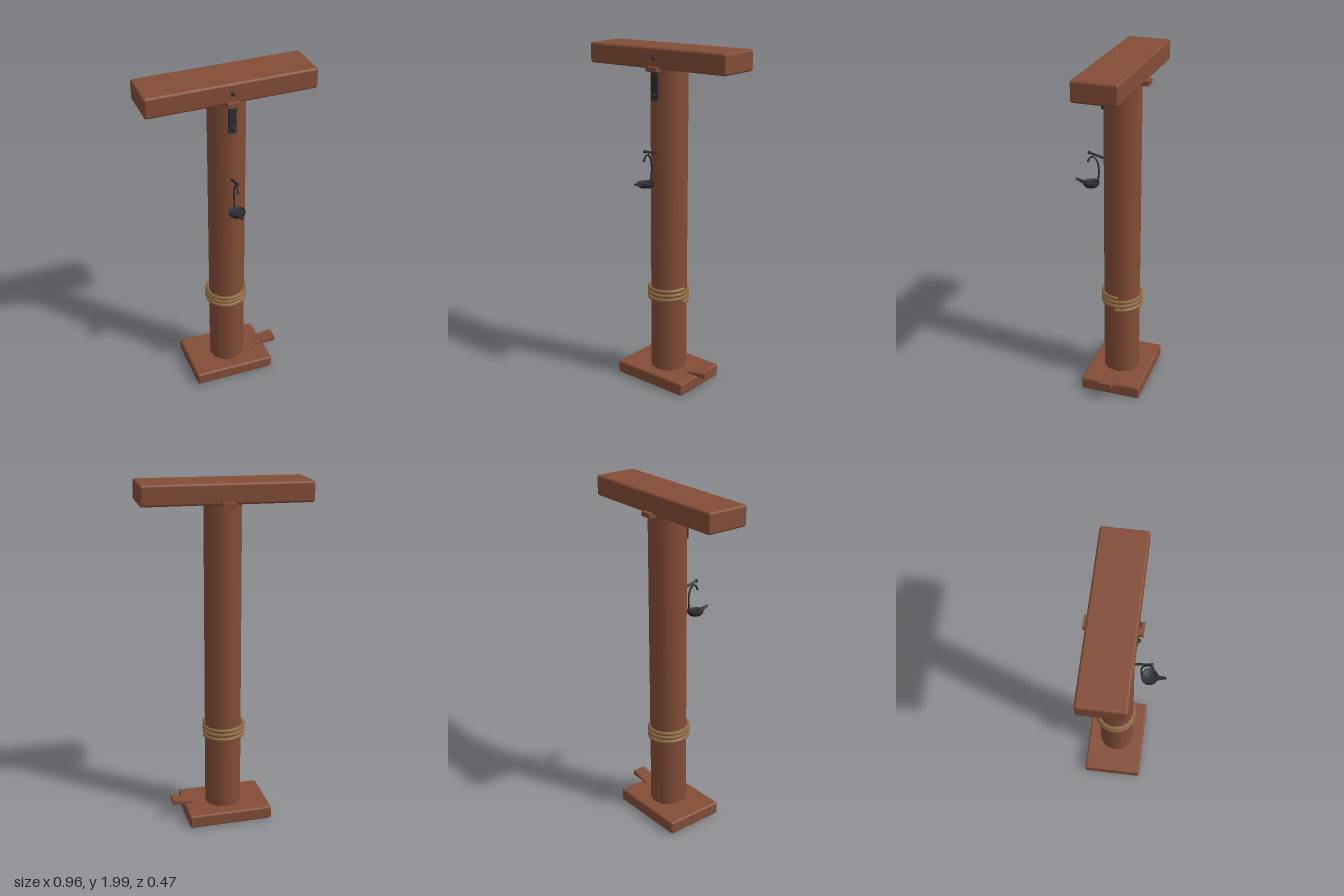
import * as THREE from 'three';
import { RoundedBoxGeometry } from 'three/addons/geometries/RoundedBoxGeometry.js';

const wood = new THREE.MeshStandardMaterial({ name: 'wood', color: 0x834d37 });
const rope = new THREE.MeshStandardMaterial({ name: 'rope', color: 0x8c6840 });
const iron = new THREE.MeshStandardMaterial({ name: 'iron', color: 0x2c2c32 });

const V = (x, y, z) => new THREE.Vector3(x, y, z);

export function createModel() {
  const root = new THREE.Group();
  const add = (name, geometry, material, x = 0, y = 0, z = 0, parent = root) => {
    const mesh = new THREE.Mesh(geometry, material);
    mesh.name = name;
    mesh.position.set(x, y, z);
    parent.add(mesh);
    return mesh;
  };
  const rounded = (w, h, d, r) => new RoundedBoxGeometry(w, h, d, 2, r);
  // Rod running between two points
  const rod = (name, a, b, r, material, parent) =>
    add(name, new THREE.TubeGeometry(new THREE.LineCurve3(a, b), 1, r, 8), material, 0, 0, 0, parent);

  // Timber: foot, post and crossbeam, each set a little askew
  add('foot', rounded(0.49, 0.076, 0.356, 0.012), wood, -0.002, 0.046, -0.051).rotation.set(0, 0.022, -0.01);
  add('post', new THREE.CylinderGeometry(0.107, 0.107, 1.86, 12), wood, 0.006, 0.95, -0.05);
  add('crossbeam', rounded(0.953, 0.116, 0.253, 0.014), wood, 0, 1.936, -0.051).rotation.set(0, 0.021, 0.012);
  add('crossPeg', new THREE.BoxGeometry(0.07, 0.026, 0.3), wood, 0, 1.878, -0.05);

  // Wedge beside the foot, thin end toward the post
  const profile = new THREE.Shape([[0.18, 0.092], [0.316, 0.092], [0.316, 0.122], [0.18, 0.097]]
    .map(([x, y]) => new THREE.Vector2(x, y)));
  add('wedge', new THREE.ExtrudeGeometry(profile, { depth: 0.08, bevelEnabled: false }), wood, 0, 0, -0.088);

  // Rope wound three times round the post
  const turns = 3, coil = [];
  for (let i = 0; i <= turns * 16; i++) {
    const a = i / 16 * Math.PI * 2;
    coil.push(V(0.002 + 0.112 * Math.cos(a), 0.512 + 0.081 * i / (turns * 16), -0.05 - 0.112 * Math.sin(a)));
  }
  const coilCurve = new THREE.CatmullRomCurve3(coil);
  add('ropeCoil', new THREE.TubeGeometry(coilCurve, 120, 0.0115, 8), rope);
  [coil[0], coil[coil.length - 1]].forEach((p) =>
    add('ropeEnd', new THREE.SphereGeometry(0.0115, 8, 6), rope, p.x, p.y, p.z));

  // Iron strap and bolts
  add('strap', new THREE.BoxGeometry(0.042, 0.165, 0.014), iron, 0, 1.788, 0.065);
  [[1.735, 0.076], [1.936, 0.076]].forEach(([y, z]) => {
    const bolt = add('bolt', new THREE.SphereGeometry(0.012, 10, 8), iron, 0, y, z);
    bolt.scale.z = 0.9;
  });

  // Hanging lamp: hook, curved handle, dish and spout
  const lamp = new THREE.Group();
  lamp.name = 'lamp';
  root.add(lamp);
  rod('hook', V(0, 1.408, 0.045), V(0, 1.435, 0.15), 0.007, iron, lamp);
  add('hookTip', new THREE.SphereGeometry(0.01, 8, 6), iron, 0, 1.435, 0.15, lamp);
  const handle = new THREE.CatmullRomCurve3([
    V(0, 1.385, 0.157), V(0, 1.405, 0.146), V(0, 1.414, 0.127), V(0, 1.39, 0.104),
    V(0, 1.33, 0.094), V(0, 1.245, 0.104)]);
  add('handle', new THREE.TubeGeometry(handle, 24, 0.005, 6), iron, 0, 0, 0, lamp);
  add('handleTip', new THREE.SphereGeometry(0.008, 8, 6), iron, 0, 1.385, 0.157, lamp);
  const dish = [[0, 0], [0.036, 0], [0.046, 0.012], [0.048, 0.027], [0.043, 0.029], [0.038, 0.018], [0, 0.016]]
    .map(([x, y]) => new THREE.Vector2(x, y));
  add('dish', new THREE.LatheGeometry(dish, 16), iron, 0, 1.232, 0.142, lamp);
  const spout = add('spout', new THREE.CylinderGeometry(0.007, 0.018, 0.066, 8), iron, 0, 1.256, 0.202, lamp);
  spout.rotation.x = Math.PI / 2 - 0.3;
  spout.scale.z = 0.65;

  return root;
}
